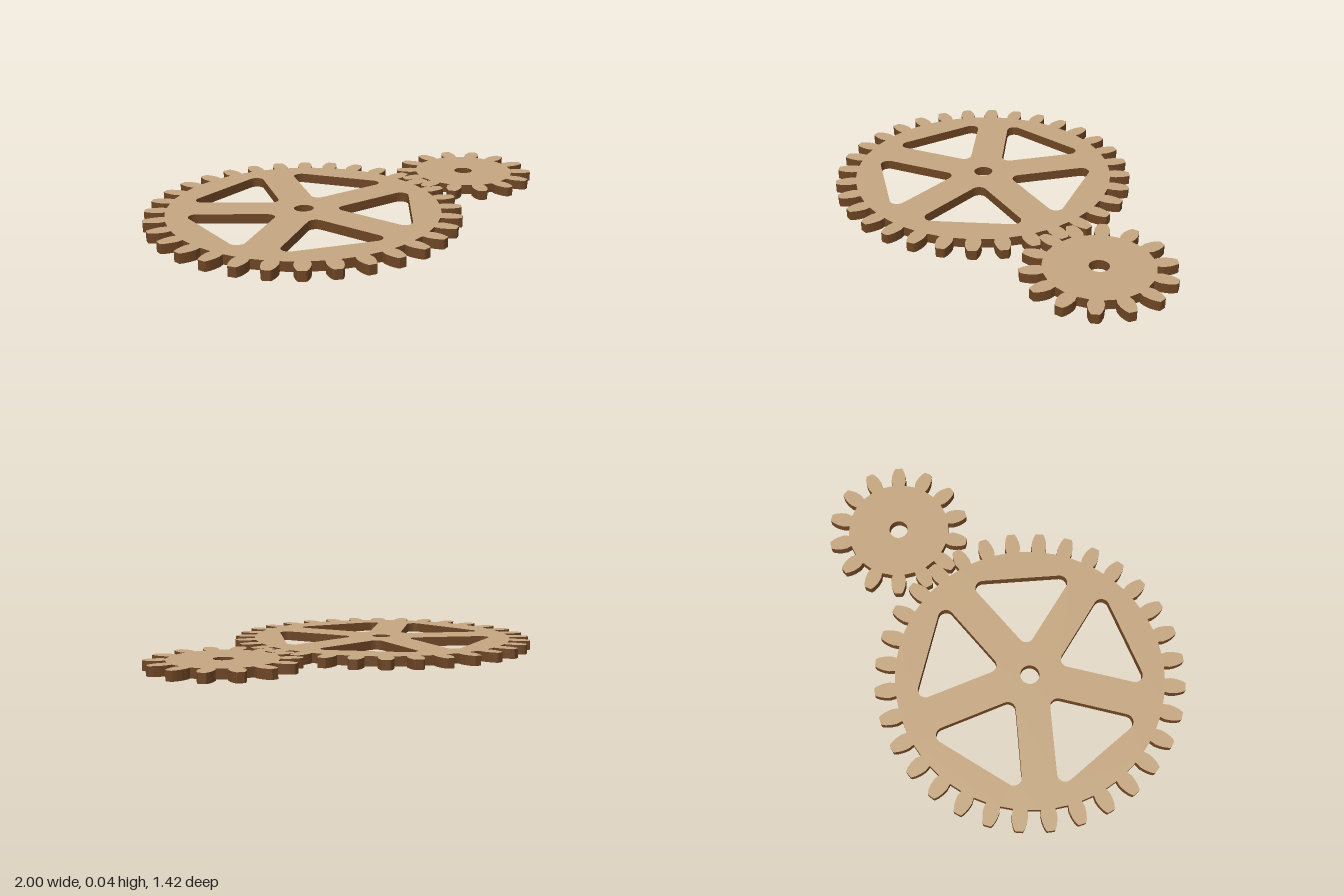
import * as THREE from 'three';

const THICKNESS = 0.044;
const BORE = 0.044;

const faceWood = new THREE.MeshStandardMaterial({ color: 0xc4a680 });
faceWood.name = 'light wood face';
const edgeWood = new THREE.MeshStandardMaterial({ color: 0x6b4423 });
edgeWood.name = 'dark wood edge';

// Toothed outline; flank lists [radius, half width] from root to tip
function gearShape(teeth, startAngle, flank) {
  const points = [];
  for (let i = 0; i < teeth; i++) {
    const a = startAngle + (i / teeth) * Math.PI * 2;
    const add = (r, w) => points.push(new THREE.Vector2(
      r * Math.cos(a) - w * Math.sin(a),
      r * Math.sin(a) + w * Math.cos(a)));
    flank.forEach(([r, w]) => add(r, -w));
    [...flank].reverse().forEach(([r, w]) => add(r, w));
  }
  const shape = new THREE.Shape(points);
  shape.holes.push(new THREE.Path().absarc(0, 0, BORE, 0, Math.PI * 2, false));
  return shape;
}

// Rounded triangular opening between two neighbouring spokes
function pocket(bisector) {
  const half = Math.PI / 5, radius = 0.036, outer = 0.479, spoke = 0.078;
  const apex = (spoke + radius) / Math.sin(half);
  const far = outer - radius;
  const side = (far - apex) * Math.tan(half);
  const normal = half + Math.PI / 2;
  const corners = [
    [far, side, 0, normal],
    [apex, 0, normal, Math.PI * 2 - normal],
    [far, -side, Math.PI * 2 - normal, Math.PI * 2],
  ];
  const path = new THREE.Path();
  const c = Math.cos(bisector), s = Math.sin(bisector);
  corners.forEach(([x, y, from, to]) => path.absarc(
    x * c - y * s, x * s + y * c, radius, from + bisector, to + bisector, false));
  return path;
}

// Flat plate lying on the ground
function plate(name, shape, x) {
  const geometry = new THREE.ExtrudeGeometry(shape, {
    depth: THICKNESS, bevelEnabled: false, curveSegments: 12,
  });
  geometry.rotateX(-Math.PI / 2);
  const mesh = new THREE.Mesh(geometry, [faceWood, edgeWood]);
  mesh.name = name;
  mesh.position.x = x;
  return mesh;
}

export function createModel() {
  const group = new THREE.Group();
  group.name = 'gearPair';

  // Large wheel with five spokes
  const wheel = gearShape(32, 0, [
    [0.614, 0.031], [0.64, 0.036], [0.668, 0.033], [0.69, 0.027], [0.705, 0.02], [0.709, 0.016],
  ]);
  for (let i = 0; i < 5; i++) wheel.holes.push(pocket(((i + 0.5) * Math.PI * 2) / 5));
  group.add(plate('largeGear', wheel, -0.291));

  // Small solid pinion, turned half a tooth to mesh
  const pinion = gearShape(14, Math.PI / 14, [
    [0.238, 0.028], [0.262, 0.035], [0.292, 0.033], [0.315, 0.026], [0.329, 0.019], [0.333, 0.015],
  ]);
  group.add(plate('smallGear', pinion, 0.67));

  return group;
}
